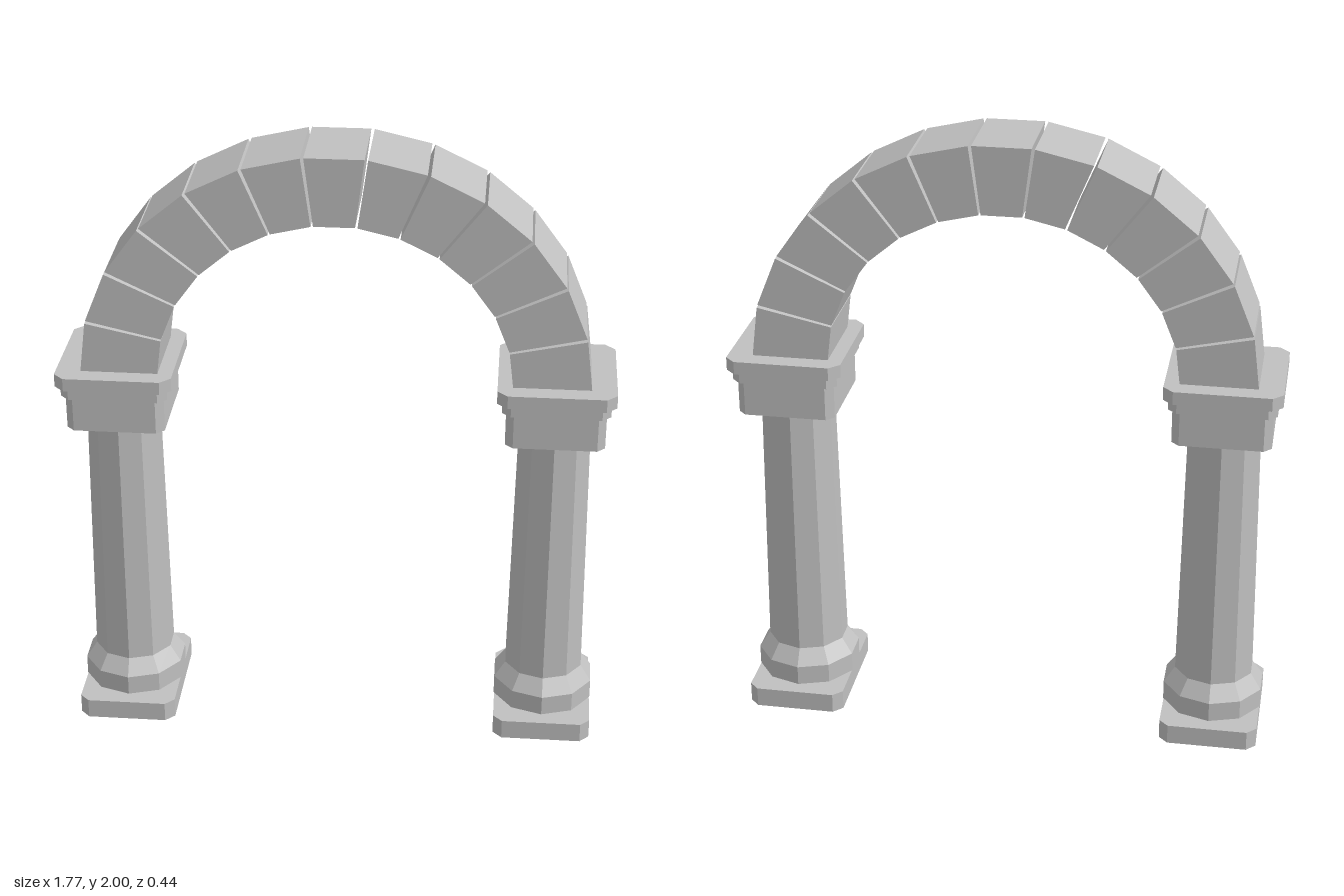
import * as THREE from 'three';

const stone = new THREE.MeshStandardMaterial({ color: 0xc0c0c0, flatShading: true });
stone.name = 'grey stone';

function add(parent, name, geometry, y = 0) {
  const mesh = new THREE.Mesh(geometry, stone);
  mesh.name = name;
  mesh.position.y = y;
  parent.add(mesh);
}

// Slab with cut corners, standing on its own y = 0
function slab(hx, hz, height, cut) {
  const points = [
    [hx, -hz + cut], [hx, hz - cut], [hx - cut, hz], [-hx + cut, hz],
    [-hx, hz - cut], [-hx, -hz + cut], [-hx + cut, -hz], [hx - cut, -hz],
  ].map(([x, y]) => new THREE.Vector2(x, y));
  const geometry = new THREE.ExtrudeGeometry(new THREE.Shape(points), { depth: height, bevelEnabled: false });
  return geometry.rotateX(-Math.PI / 2);
}

// Ten-sided drum between two heights
function drum(parent, name, bottomRadius, topRadius, y0, y1) {
  add(parent, name, new THREE.CylinderGeometry(topRadius, bottomRadius, y1 - y0, 10), (y0 + y1) / 2);
}

function column(name) {
  const group = new THREE.Group();
  group.name = name;
  add(group, 'plinth', slab(0.16, 0.22, 0.066, 0.03));
  drum(group, 'baseRing', 0.17, 0.17, 0.066, 0.132);
  drum(group, 'baseTaper', 0.17, 0.133, 0.132, 0.185);
  drum(group, 'shaft', 0.133, 0.12, 0.185, 1.045);
  drum(group, 'neck', 0.12, 0.146, 1.045, 1.07);
  add(group, 'capitalBlock', slab(0.157, 0.172, 0.115, 0.025), 1.07);
  add(group, 'capitalStep', slab(0.17, 0.184, 0.037, 0.028), 1.185);
  add(group, 'capitalTop', slab(0.186, 0.2, 0.043, 0.033), 1.222);
  return group;
}

// Wedge stones follow an outer and an inner ellipse, with thin open joints
function arch() {
  const group = new THREE.Group();
  group.name = 'arch';
  const count = 13, step = Math.PI / count, gap = 0.0065, depth = 0.275;
  const at = (a, rx, ry) => new THREE.Vector2(rx * Math.cos(a), 1.255 + ry * Math.sin(a));
  for (let i = 0; i < count; i++) {
    const a = i * step + (i > 0 ? gap : 0);
    const b = (i + 1) * step - (i < count - 1 ? gap : 0);
    const wedge = new THREE.Shape([
      at(a, 0.56, 0.53), at(a, 0.805, 0.75), at(b, 0.805, 0.75), at(b, 0.56, 0.53),
    ]);
    const geometry = new THREE.ExtrudeGeometry(wedge, { depth, bevelEnabled: false });
    add(group, `archStone${i + 1}`, geometry.translate(0, 0, -depth / 2));
  }
  return group;
}

export function createModel() {
  const model = new THREE.Group();
  model.name = 'stoneArch';
  for (const side of [1, -1]) {
    const pillar = column(side > 0 ? 'leftColumn' : 'rightColumn');
    pillar.position.x = side * 0.697;
    model.add(pillar);
  }
  model.add(arch());
  return model;
}
